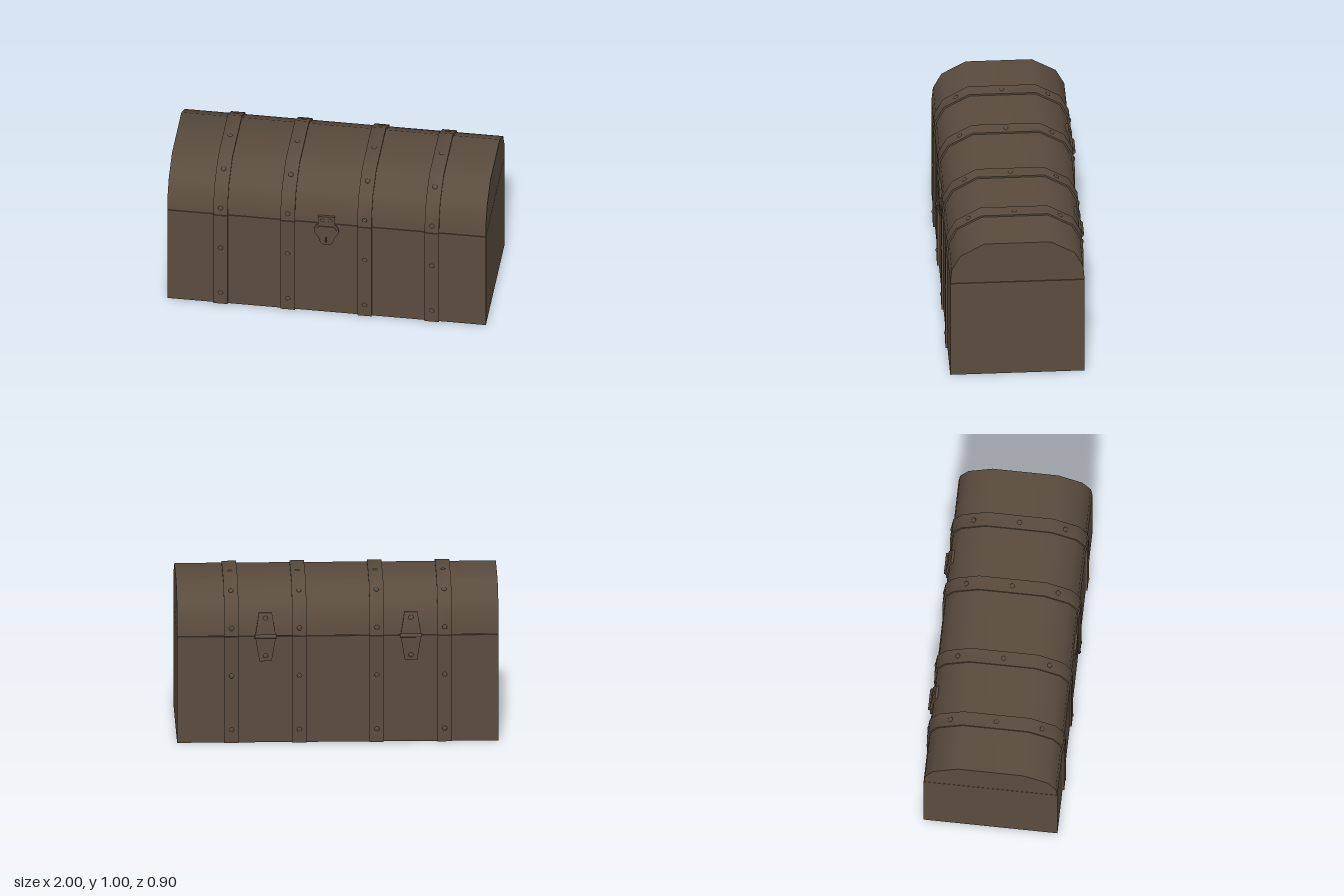
import * as THREE from 'three';
import { toCreasedNormals } from 'three/addons/utils/BufferGeometryUtils.js';

const MID = -0.0055;          // centre of the chest in z
const HALF = 0.4185;          // half depth of the wooden body
const BODY_TOP = 0.687, LID_BOTTOM = 0.691;
const STRAP_X = [-0.665, -0.243, 0.239, 0.662];

// half of the lid's cross-section as [z, y, normal z, normal y]
const LID = [
  [HALF, LID_BOTTOM, 1, 0], [0.409, 0.79, 0.97, 0.32],
  [0.356, 0.893, 0.73, 0.72], [0.206, 0.98, 0.27, 1],
];

function lidOutline(off) {
  const half = LID.map(([z, y, nz, ny]) => [z + nz * off, y + ny * off]);
  return [...half, ...half.slice().reverse().map(([z, y]) => [-z, y])];
}

// extrude a (z, y) outline along x, centred on x = 0
function extrudeX(outline, width) {
  const shape = new THREE.Shape(outline.map(([z, y]) => new THREE.Vector2(z, y)));
  const geo = new THREE.ExtrudeGeometry(shape, { depth: width, bevelEnabled: false });
  geo.translate(0, 0, -width / 2).rotateY(-Math.PI / 2);
  return toCreasedNormals(geo, 0.7);
}

export function createModel() {
  const chest = new THREE.Group();
  chest.name = 'chest';
  const brown = new THREE.MeshStandardMaterial({ color: 0x5a4c3e });
  brown.name = 'dark brown';

  function add(name, geo, x = 0, y = 0, z = 0) {
    const mesh = new THREE.Mesh(geo, brown);
    mesh.name = name;
    mesh.position.set(x, y, z);
    chest.add(mesh);
    return mesh;
  }

  // domed stud pointing along (ny, nz)
  const studGeo = new THREE.SphereGeometry(0.016, 10, 4, 0, Math.PI * 2, 0, Math.PI / 2);
  function stud(name, x, y, z, ny, nz, size = 1) {
    const mesh = add(name, studGeo, x, y, z);
    mesh.scale.set(size, 0.5 * size, size);
    mesh.rotation.x = Math.atan2(nz, ny);
  }

  // body and lid, with a narrow gap between them
  add('body', new THREE.BoxGeometry(2, BODY_TOP, HALF * 2), 0, BODY_TOP / 2, MID);
  add('lid', extrudeX(lidOutline(0), 2), 0, 0, MID);

  // straps with studs
  const lidBand = extrudeX([...lidOutline(0.011), ...lidOutline(-0.004).reverse()], 0.09);
  const bodyBand = new THREE.BoxGeometry(0.09, BODY_TOP, 0.015);
  for (const x of STRAP_X) {
    add('lidStrap', lidBand, x, 0, MID);
    stud('lidStud', x, 0.989, MID, 1, 0);
    for (const s of [1, -1]) {
      add('bodyStrap', bodyBand, x, BODY_TOP / 2, MID + s * (HALF + 0.0035));
      stud('lidStud', x, 0.946, MID + s * 0.287, 0.86, s * 0.5);
      stud('lidStud', x, 0.742, MID + s * 0.424, 0.1, s);
      for (const y of [0.085, 0.435]) stud('bodyStud', x, y, MID + s * (HALF + 0.01), 0, s);
    }
  }

  // tapered hinges on the back
  const back = HALF;
  const upper = [[back, LID_BOTTOM], [0.409, 0.79], [0.388, 0.833]];
  const lower = [[back, 0.53], [back, BODY_TOP]];
  function leaf(path) {
    const outer = path.map(([z, y]) => [-z - 0.014, y]);
    const inner = path.map(([z, y]) => [-z + 0.004, y]).reverse();
    const geo = extrudeX([...outer, ...inner], 0.13);
    const p = geo.attributes.position;
    for (let i = 0; i < p.count; i++) {
      p.setX(i, p.getX(i) * (1 - 2.6 * Math.abs(p.getY(i) - 0.69)));
    }
    return geo;
  }
  const upperLeaf = leaf(upper), lowerLeaf = leaf(lower);
  const knuckle = new THREE.CylinderGeometry(0.012, 0.012, 0.135, 12).rotateZ(Math.PI / 2);
  for (const x of [-0.455, 0.45]) {
    add('upperHingeLeaf', upperLeaf, x, 0, MID);
    add('lowerHingeLeaf', lowerLeaf, x, 0, MID);
    add('hingeKnuckle', knuckle, x, 0.69, MID - HALF - 0.013);
    stud('hingeStud', x, 0.803, MID - 0.416, 0.35, -1);
    stud('hingeStud', x, 0.565, MID - HALF - 0.013, 0, -1);
  }

  // lock: hasp on the lid, rounded shield on the body and a pull ring
  const front = MID + HALF;
  add('hasp', new THREE.BoxGeometry(0.106, 0.064, 0.016), 0, 0.716, front + 0.005);
  for (const x of [-0.025, 0.025]) stud('haspStud', x, 0.72, front + 0.012, 0, 1, 0.8);

  const shield = new THREE.Shape();
  shield.moveTo(-0.055, 0.682);
  shield.bezierCurveTo(-0.078, 0.665, -0.088, 0.62, -0.058, 0.595);
  shield.bezierCurveTo(-0.04, 0.58, -0.055, 0.526, 0, 0.526);
  shield.bezierCurveTo(0.055, 0.526, 0.04, 0.58, 0.058, 0.595);
  shield.bezierCurveTo(0.088, 0.62, 0.078, 0.665, 0.055, 0.682);
  shield.closePath();
  const plate = (depth) => toCreasedNormals(new THREE.ExtrudeGeometry(
    shield, { depth, bevelEnabled: false, curveSegments: 8 }), 0.7);
  add('lockPlate', plate(0.008), 0, 0, front);
  const raised = add('lockFace', plate(0.013), 0, 0.61 * 0.16, front);
  raised.scale.set(0.84, 0.84, 1);
  add('pullRing', new THREE.TorusGeometry(0.014, 0.004, 6, 16).rotateY(Math.PI / 2),
    0, 0.577, front + 0.022);

  return chest;
}
